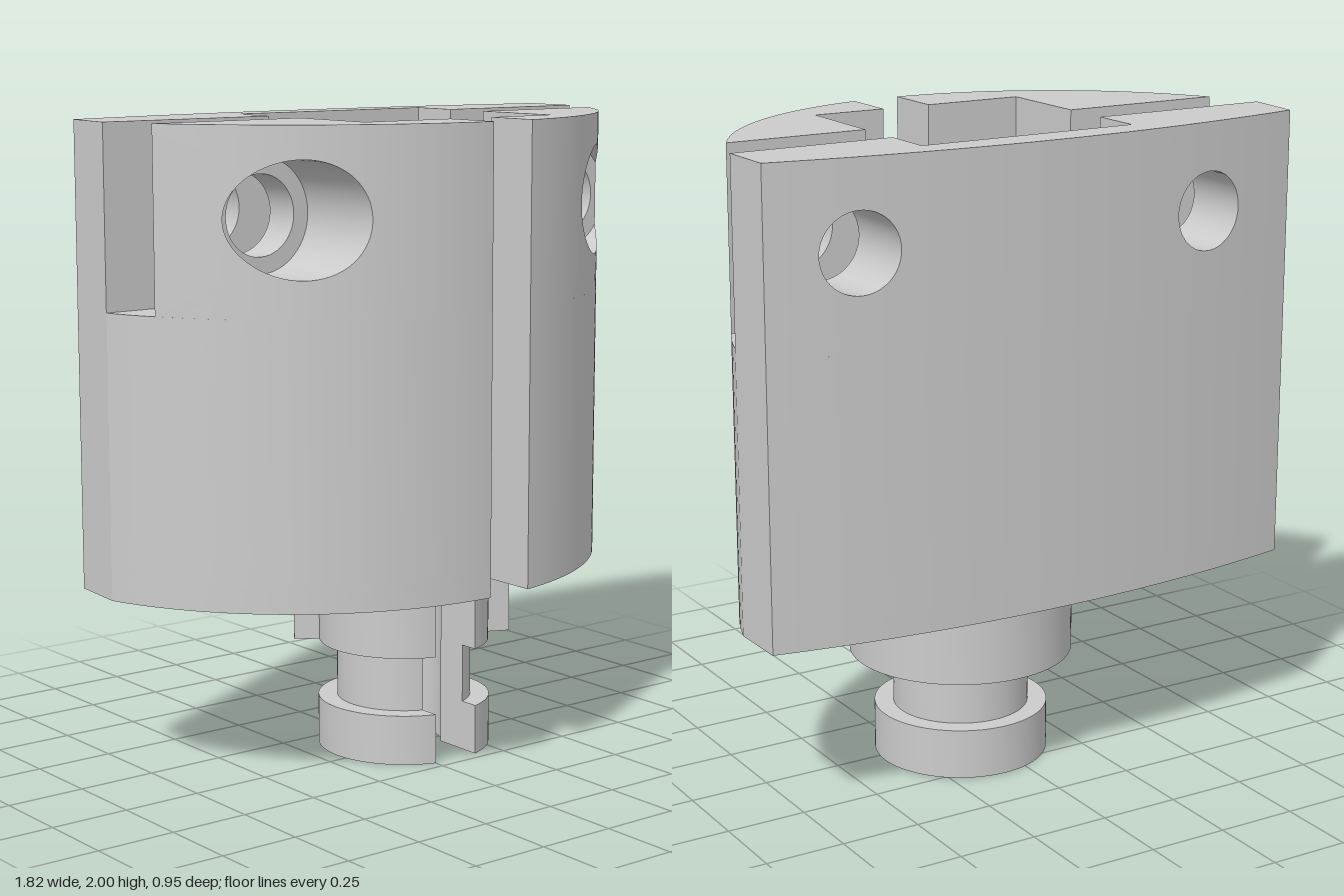
import * as THREE from 'three';
import { toCreasedNormals } from 'three/addons/utils/BufferGeometryUtils.js';

const { sqrt, cos, sin, acos, atan2, abs, min, PI } = Math;
const material = new THREE.MeshStandardMaterial({ color: 0xcccccc });

// Key sizes
const TOP = 2, BASE = 0.58, FLOOR = 0.66, NOTCH = 1.445;
const SLOT = [0, 0.16], POCKET_X = [-0.32, 0.395], POCKET_Z = [-0.365, 0.275];
const NOTCH_Z = [-0.2, -0.04];
const BORE = { x: 0.08, z: -0.045, r: 0.12 };
const HOLE_Y = 1.73, HOLE_R = 0.121, SINK_R = 0.172, SINK_Z = 0.08;

// Plan curves of the body: z of the front and the back at a given x
const frontZ = x => -0.479 + sqrt(0.952 ** 2 - x * x);
const backZ = x => 4.068 - sqrt(4.545 ** 2 - x * x);

function mesh(name, geometry) {
  const m = new THREE.Mesh(toCreasedNormals(geometry, 0.2), material);
  m.name = name;
  return m;
}

// Plan outline [x, z] extruded from y0 to y1
function prism(name, pts, y0, y1) {
  const shape = new THREE.Shape(pts.map(p => new THREE.Vector2(p[0], p[1])));
  const g = new THREE.ExtrudeGeometry(shape, { depth: y1 - y0, bevelEnabled: false });
  g.rotateX(PI / 2).translate(0, y1, 0);
  return mesh(name, g);
}

// Points on the front curve, evenly spaced by angle
function frontArc(x0, x1, n = 40) {
  const a0 = acos(x0 / 0.952), a1 = acos(x1 / 0.952);
  return Array.from({ length: n + 1 }, (_, i) => {
    const x = 0.952 * cos(a0 + (a1 - a0) * i / n);
    return [x, frontZ(x)];
  });
}

function backArc(x0, x1, n = 40) {
  return Array.from({ length: n + 1 }, (_, i) => {
    const x = x0 + (x1 - x0) * i / n;
    return [x, backZ(x)];
  });
}

// Arc about the bore axis
function stemArc(r, a0, a1, n = 48) {
  return Array.from({ length: n + 1 }, (_, i) => {
    const a = a0 + (a1 - a0) * i / n;
    return [BORE.x + r * cos(a), BORE.z + r * sin(a)];
  });
}

// Bore edge that opens into the front slot
function keyhole() {
  const b = acos(0.08 / BORE.r);
  return stemArc(BORE.r, -PI - b, b);
}

// Block with a round hole along z, wrapped from loops around the hole.
// Each loop is [radius or 'rect', z function, steps from the previous loop].
function drilledBlock(name, [x0, x1], cx, loops, { clipX = Infinity, edgeX = null } = {}) {
  const hitX = c => c > 0 ? (x1 - cx) / c : c < 0 ? (x0 - cx) / c : Infinity;
  const hitY = s => s > 0 ? (TOP - HOLE_Y) / s : s < 0 ? (NOTCH - HOLE_Y) / s : Infinity;
  const angles = Array.from({ length: 64 }, (_, i) => -PI + i * PI / 32);
  for (const x of [x0, x1]) for (const y of [NOTCH, TOP]) angles.push(atan2(y - HOLE_Y, x - cx));
  if (clipX - cx < SINK_R) {
    const a = acos((clipX - cx) / SINK_R);
    angles.push(a, -a);
  }
  angles.sort((a, b) => a - b);

  const flat = ([r, z], a) => {
    const c = cos(a), s = sin(a);
    let d = r === 'rect' ? min(hitX(c), hitY(s)) : r;
    if (r !== 'rect' && c > 0) d = min(d, (clipX - cx) / c);
    let x = cx + d * c;
    // the outer side may taper towards the notch
    if (r === 'rect' && edgeX && z === edgeX.z && abs(x - edgeX.from) < 1e-6) x = edgeX.to;
    return [x, HOLE_Y + d * s];
  };
  const rows = [];
  loops.forEach((loop, k) => {
    const steps = loop[2] || 1, prev = loops[k - 1];
    for (let j = k ? 1 : steps; j <= steps; j++) {
      rows.push(angles.map(a => {
        let [x, y] = flat(loop, a);
        if (j < steps) {
          const p = flat(prev, a), t = j / steps;
          x = p[0] + (x - p[0]) * t;
          y = p[1] + (y - p[1]) * t;
        }
        return [x, y, loop[1](x)];
      }));
    }
  });
  const pos = [], n = angles.length;
  for (let k = 0; k + 1 < rows.length; k++) {
    for (let i = 0; i < n; i++) {
      const j = (i + 1) % n;
      const a = rows[k][i], b = rows[k + 1][i], c = rows[k + 1][j], d = rows[k][j];
      pos.push(...a, ...b, ...c, ...a, ...c, ...d);
    }
  }
  const g = new THREE.BufferGeometry();
  g.setAttribute('position', new THREE.Float32BufferAttribute(pos, 3));
  g.computeVertexNormals();
  return mesh(name, g);
}

export function createModel() {
  const model = new THREE.Group();
  const body = new THREE.Group(), stem = new THREE.Group();
  body.name = 'body';
  stem.name = 'stem';
  model.add(body, stem);

  // Body: keyhole floor and pocketed lower walls
  const outline = [
    ...frontArc(SLOT[1], 0.91), ...backArc(0.907, -0.893), ...frontArc(-0.91, SLOT[0]),
  ];
  const [px0, px1] = POCKET_X, [pz0, pz1] = POCKET_Z;
  const pocket = [
    [SLOT[0], pz1], [px0, pz1], [px0, pz0], [px1, pz0], [px1, pz1], [SLOT[1], pz1],
  ];
  body.add(prism('bodyFloor', [...outline, ...keyhole()], BASE, FLOOR));
  body.add(prism('lowerWalls', [...outline, ...pocket], FLOOR, NOTCH));

  // Upper walls beside the front slot and behind the pocket
  body.add(prism('rightFrontLip', [...frontArc(px0, SLOT[0]), [SLOT[0], pz1], [px0, pz1]], NOTCH, TOP));
  body.add(prism('leftFrontLip', [...frontArc(SLOT[1], px1), [px1, pz1], [SLOT[1], pz1]], NOTCH, TOP));
  body.add(prism('pocketBack', [...backArc(px0, px1), [px1, pz0], [px0, pz0]], NOTCH, TOP));

  // Drilled jaws in front of the side notches and cheeks behind them
  const notchBack = () => NOTCH_Z[0], notchFront = () => NOTCH_Z[1], sink = () => SINK_Z;
  const jaw = [
    ['rect', notchFront], [HOLE_R, notchFront], [HOLE_R, sink],
    [SINK_R, sink], [SINK_R, frontZ], ['rect', frontZ, 12], ['rect', notchFront],
  ];
  const cheek = [
    ['rect', backZ], [HOLE_R, backZ, 8], [HOLE_R, notchBack], ['rect', notchBack], ['rect', backZ],
  ];
  const jawX = 0.845, clipX = sqrt(0.952 ** 2 - (SINK_Z + 0.479) ** 2);
  body.add(drilledBlock('rightJaw', [-jawX, px0], -0.555, jaw));
  body.add(drilledBlock('leftJaw', [px1, jawX], 0.63, jaw, { clipX }));
  body.add(drilledBlock('rightCheek', [-0.893, px0], -0.555, cheek,
    { edgeX: { z: notchBack, from: -0.893, to: -0.91 } }));
  body.add(drilledBlock('leftCheek', [px1, 0.907], 0.63, cheek,
    { edgeX: { z: notchBack, from: 0.907, to: 0.91 } }));

  // Stem: slotted foot flange, neck and stepped collar
  const slotAngle = r => acos(0.08 / r);
  const ring = r => [...stemArc(r, slotAngle(r), -PI - slotAngle(r), 72), ...keyhole()];
  stem.add(prism('footFlange', ring(0.273), 0, 0.157));
  stem.add(prism('neck', ring(0.213), 0.157, 0.34));
  const r = 0.27, R = 0.35, stepA = 0.431, stepB = -2.55;
  stem.add(prism('collar', [
    ...stemArc(r, slotAngle(r), stepA, 12),
    ...stemArc(R, stepA, stepB),
    ...stemArc(r, stepB, -PI - slotAngle(r), 24),
    ...keyhole(),
  ], 0.34, BASE));

  return model;
}
